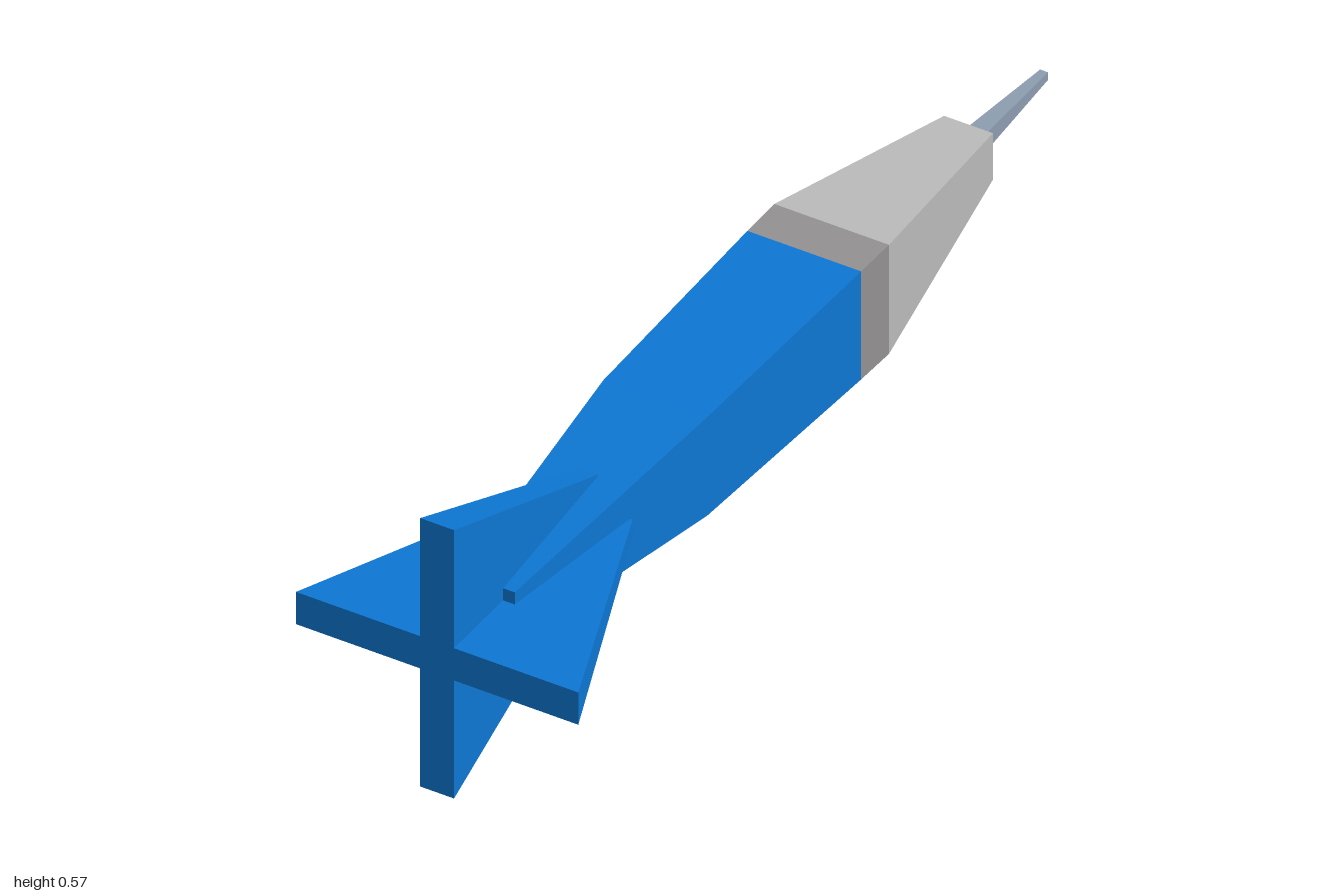
import * as THREE from 'three';

// Lofts rectangular sections [z, halfWidth, halfHeight], ordered from +z to -z, with flat faces.
function loft(sections, capFront = false, capBack = false) {
  const pos = [];
  const ring = ([z, w, h]) => [[w, h, z], [-w, h, z], [-w, -h, z], [w, -h, z]];
  const quad = (a, b, c, d) => pos.push(...a, ...b, ...c, ...a, ...c, ...d);
  const rings = sections.map(ring);
  for (let i = 0; i < rings.length - 1; i++) {
    const f = rings[i], b = rings[i + 1];
    for (let k = 0; k < 4; k++) {
      const n = (k + 1) % 4;
      quad(f[k], b[k], b[n], f[n]);
    }
  }
  if (capFront) quad(...rings[0]);
  if (capBack) quad(...rings[rings.length - 1].slice().reverse());
  const geo = new THREE.BufferGeometry();
  geo.setAttribute('position', new THREE.Float32BufferAttribute(pos, 3));
  geo.computeVertexNormals();
  return geo;
}

export function createModel() {
  const material = (name, color) => {
    const m = new THREE.MeshStandardMaterial({ color });
    m.name = name;
    return m;
  };
  const blue = material('blue', 0x0d77d3);
  const paleGrey = material('paleGrey', 0xbbbaba);
  const midGrey = material('midGrey', 0x939191);
  const steel = material('steel', 0x8c9db0);

  const model = new THREE.Group();
  model.name = 'finnedDart';
  const dart = new THREE.Group();
  dart.name = 'dart';
  dart.position.y = 0.283;
  model.add(dart);

  const add = (name, geometry, mat, x = -0.002) => {
    const mesh = new THREE.Mesh(geometry, mat);
    mesh.name = name;
    mesh.position.x = x;
    dart.add(mesh);
    return mesh;
  };

  // Square body, narrowing towards the tail
  add('body', loft([
    [0.83, 0.054, 0.054], [0.5, 0.084, 0.084], [0.28, 0.104, 0.104], [-0.21, 0.114, 0.114],
  ], true), blue);

  // Collar, nose and spike
  add('collar', loft([[-0.21, 0.114, 0.114], [-0.3, 0.115, 0.115]]), midGrey);
  add('nose', loft([[-0.3, 0.115, 0.115], [-0.75, 0.049, 0.049]], false, true), paleGrey);
  add('spike', loft([[-0.75, 0.02, 0.02], [-1, 0.008, 0.008]], false, true), steel, -0.003);

  // Two tapered plates crossing to make four tail fins
  const finPlate = loft([[1, 0.034, 0.283], [0.5, 0.018, 0.087]], true, true);
  add('verticalFins', finPlate, blue, 0);
  add('horizontalFins', finPlate, blue, 0).rotation.z = Math.PI / 2;

  return model;
}
